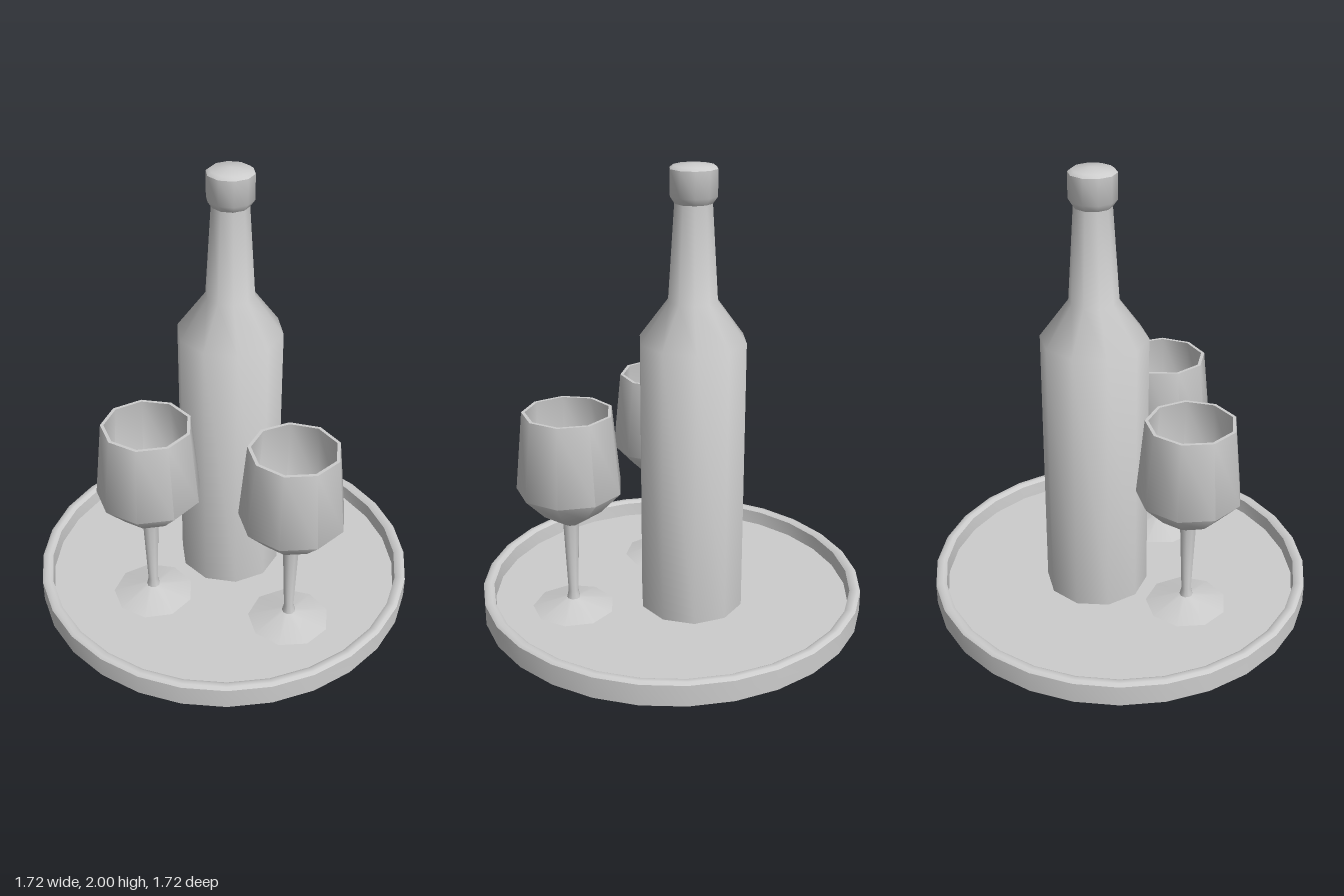
import * as THREE from 'three';
import { toCreasedNormals } from 'three/addons/utils/BufferGeometryUtils.js';

const FLOOR = 0.03; // height of the tray floor

// Turned part with few sides: smooth around, sharp at strong profile bends
function turned(name, profile, sides, phase, material) {
  const points = profile.map(([r, y]) => new THREE.Vector2(r, y));
  const lathe = new THREE.LatheGeometry(points, sides, THREE.MathUtils.degToRad(phase));
  const mesh = new THREE.Mesh(toCreasedNormals(lathe, 0.9), material);
  mesh.name = name;
  return mesh;
}

function createGlass(name, x, z, phase, material) {
  const glass = new THREE.Group();
  glass.name = name;
  // Shallow cone foot running into the tapered stem
  glass.add(turned('footAndStem', [
    [0.183, FLOOR], [0.03, 0.075], [0.022, 0.11], [0.036, 0.445],
  ], 9, phase, material));
  // Bowl: outside up to the rim, then down the inside
  glass.add(turned('bowl', [
    [0.036, 0.445], [0.14, 0.515], [0.232, 0.613], [0.197, 0.965],
    [0.182, 0.965], [0.215, 0.618], [0.13, 0.53], [0, 0.47],
  ], 9, phase, material));
  glass.position.set(x, 0, z);
  return glass;
}

export function createModel() {
  const grey = new THREE.MeshStandardMaterial({ color: 0xcccccc });
  grey.name = 'plainGrey';
  const model = new THREE.Group();
  model.name = 'bottleTray';

  // Round tray with a raised rim
  model.add(turned('tray', [
    [0, 0], [0.858, 0], [0.858, 0.095], [0.845, 0.105],
    [0.825, 0.105], [0.81, 0.095], [0.805, FLOOR], [0, FLOOR],
  ], 28, 0, grey));

  // Bottle body, shoulder and neck
  const bottle = new THREE.Group();
  bottle.name = 'bottle';
  bottle.add(turned('bottleBody', [
    [0.232, FLOOR], [0.232, 1.265], [0.107, 1.435], [0.08, 1.85],
  ], 10, -4, grey));
  // Cap with a slightly domed top
  bottle.add(turned('bottleCap', [
    [0.08, 1.84], [0.101, 1.87], [0.101, 1.98], [0.085, 1.992], [0, 2],
  ], 10, -4, grey));
  bottle.position.set(-0.02, 0, -0.108);
  model.add(bottle);

  model.add(createGlass('rightGlass', -0.22, 0.3, 15, grey));
  model.add(createGlass('leftGlass', 0.415, 0.2, 9, grey));
  return model;
}
